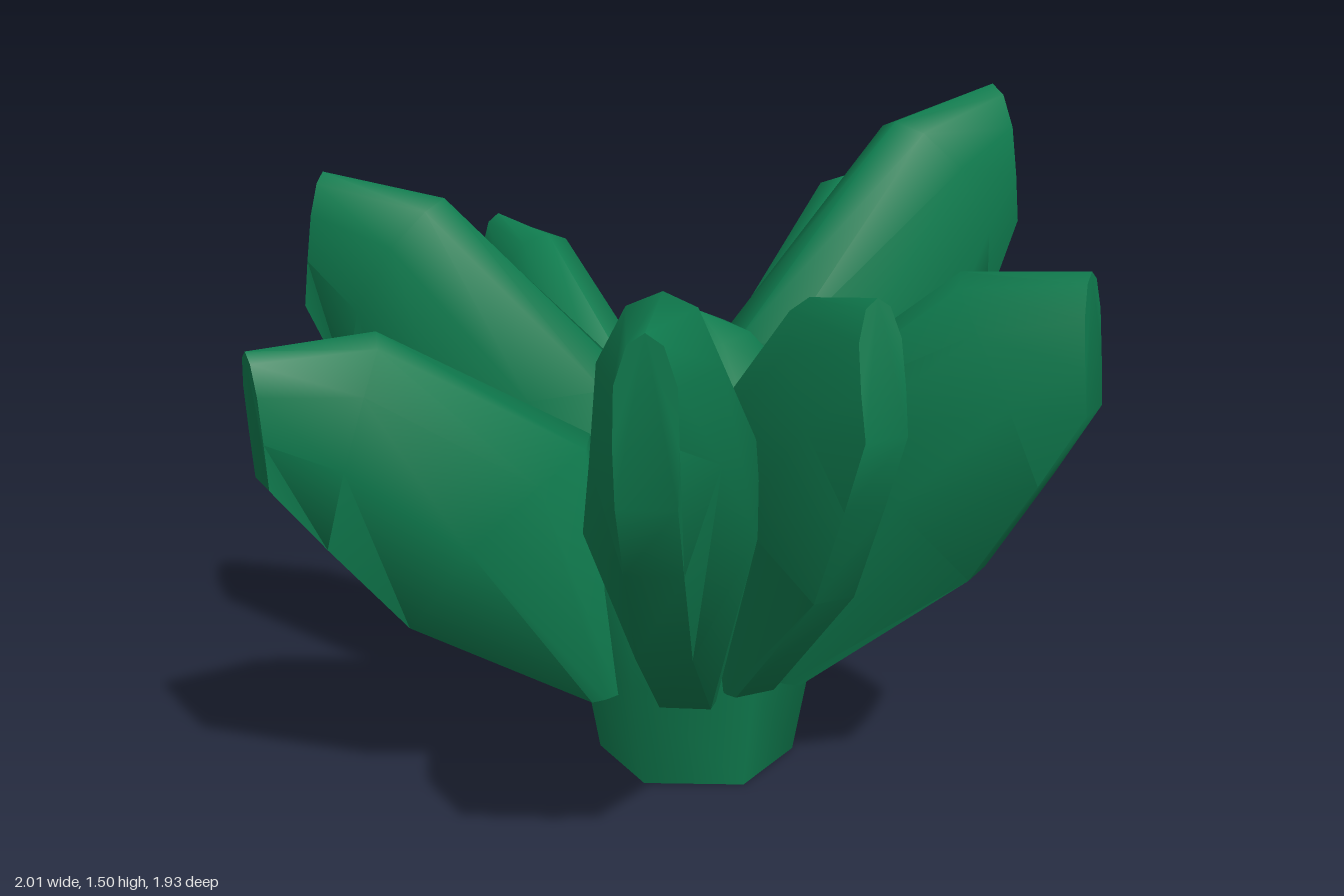
import * as THREE from 'three';
import { toCreasedNormals } from 'three/addons/utils/BufferGeometryUtils.js';

const green = new THREE.MeshStandardMaterial({ color: 0x0f7b4e, side: THREE.DoubleSide });
green.name = 'leaf green';

// Leaf stations from root to tip: underside point, ridge point (outward, up),
// half width, and how far the flanks bow towards the tip
const STATIONS = [
  { low: [0.045, 0], high: [-0.05, 0], half: 0.06, bow: 0 },
  { low: [0.45, 0.33], high: [-0.07, 0.64], half: 0.16, bow: 0.09 },
  { low: [0.6, 0.57], high: [0.39, 1.01], half: 0.113, bow: 0.04 },
  { low: [0.7, 0.74], high: [0.68, 1.04], half: 0.055, bow: 0 },
];
// Cross-section: height from underside to ridge, side in half widths, fixed width of the underside strip
const HALF_SECTION = [[0.93, 0.55, 0], [0.7, 0.95, 0], [0.35, 1, 0], [0, 0, 0.052]];
const SECTION = [
  [1, 0, 0],
  ...HALF_SECTION,
  ...HALF_SECTION.map(([t, side, strip]) => [t, -side, -strip]).reverse(),
];

// Fleshy leaf, turned and scaled so its upper tip lands at (reach, rise) from the root
function leafGeometry(reach, rise) {
  const tip = new THREE.Vector2(...STATIONS[3].high);
  const axis = tip.clone().normalize();
  const scale = Math.hypot(reach, rise) / tip.length();
  const turn = Math.atan2(rise, reach) - tip.angle();
  const origin = new THREE.Vector2();
  const positions = [], index = [], n = SECTION.length;
  for (const { low, high, half, bow } of STATIONS) {
    for (const [t, side, strip] of SECTION) {
      const p = new THREE.Vector2(...low)
        .lerp(new THREE.Vector2(...high), t)
        .addScaledVector(axis, bow * side * side)
        .rotateAround(origin, turn)
        .multiplyScalar(scale);
      positions.push(p.x, p.y, (half * side + strip) * scale);
    }
  }
  for (let i = 0; i < STATIONS.length - 1; i++) {
    for (let j = 0; j < n; j++) {
      const a = i * n + j, b = i * n + (j + 1) % n;
      index.push(a, b, b + n, a, b + n, a + n);
    }
  }
  // End caps
  const last = (STATIONS.length - 1) * n;
  for (let j = 1; j < n - 1; j++) {
    index.push(last, last + j, last + j + 1, 0, j + 1, j);
  }
  const geometry = new THREE.BufferGeometry();
  geometry.setAttribute('position', new THREE.Float32BufferAttribute(positions, 3));
  geometry.setIndex(index);
  return toCreasedNormals(geometry, 1.15);
}

export function createModel() {
  const model = new THREE.Group();
  model.name = 'succulent';
  const centre = new THREE.Vector3(0.04, 0, 0.01);

  // Six-sided stalk, open below, with a domed crown
  const profile = [[0.23, 0], [0.275, 0.25], [0.31, 0.47], [0.29, 0.7], [0.22, 0.92], [0.12, 1.03], [0, 1.08]]
    .map(([r, y]) => new THREE.Vector2(r, y));
  const stalk = new THREE.Mesh(new THREE.LatheGeometry(profile, 6), green);
  stalk.name = 'stalk';
  stalk.position.copy(centre);
  model.add(stalk);

  // Leaves: upper tip x, y, z and root height
  const leaves = {
    leftLeaf: [0.95, 1.5, -0.16, 0.27],
    backLeftLeaf: [0.985, 1.22, -0.665, 0.21],
    backLeaf: [-0.02, 1.125, -0.965, 0.2],
    backRightLeaf: [-0.615, 1.35, -0.6, 0.24],
    rightLeaf: [-1, 1.11, -0.02, 0.2],
    frontRightLeaf: [-0.565, 1.32, 0.935, 0.24],
    frontLeaf: [0.02, 1.28, 0.78, 0.25],
    frontLeftLeaf: [0.55, 1.27, 0.765, 0.24],
  };
  const rootRadius = 0.25;
  for (const [name, [x, y, z, rootY]] of Object.entries(leaves)) {
    const dx = x - centre.x, dz = z - centre.z, r = Math.hypot(dx, dz);
    const leaf = new THREE.Mesh(leafGeometry(r - rootRadius, y - rootY), green);
    leaf.name = name;
    leaf.position.set(centre.x + dx / r * rootRadius, rootY, centre.z + dz / r * rootRadius);
    leaf.rotation.y = Math.atan2(-dz, dx);
    model.add(leaf);
  }
  return model;
}
